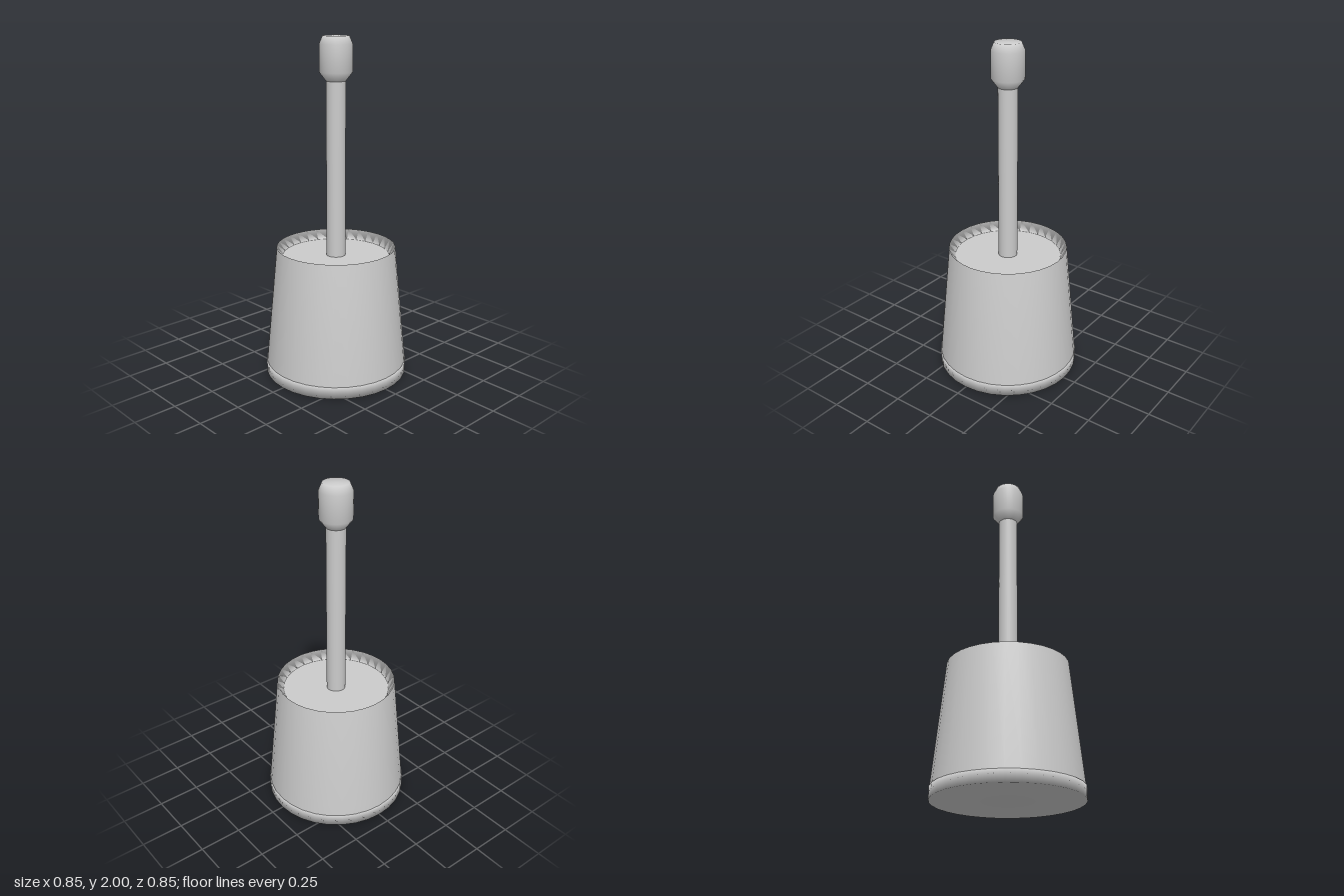
import * as THREE from 'three';

const material = new THREE.MeshStandardMaterial({ color: 0xcccccc });

// Turned part from [radius, height] pairs, listed from bottom to top
function turned(name, profile, segments = 32) {
  const points = profile.map(([r, y]) => new THREE.Vector2(r, y));
  const mesh = new THREE.Mesh(new THREE.LatheGeometry(points, segments), material);
  mesh.name = name;
  return mesh;
}

export function createModel() {
  const model = new THREE.Group();
  model.name = 'brushAndHolder';

  // Holder: low foot ring and tapered cup with a sloping inner lip
  model.add(turned('holderBase', [[0, 0], [0.425, 0], [0.425, 0.07], [0, 0.07]]));
  model.add(turned('holderCup', [[0.422, 0.07], [0.352, 0.78], [0.316, 0.725]]));

  // Flat lid recessed below the rim
  const lid = new THREE.Mesh(new THREE.CircleGeometry(0.317, 32), material);
  lid.name = 'lid';
  lid.rotation.x = -Math.PI / 2;
  lid.position.y = 0.725;
  model.add(lid);

  // Handle: slim rod flaring into a rounded grip
  model.add(turned('handleRod', [[0.056, 0.725], [0.056, 1.75]]));
  model.add(turned('handleGrip', [
    [0.056, 1.75], [0.095, 1.8], [0.095, 1.955], [0.075, 2], [0, 2],
  ]));

  return model;
}
